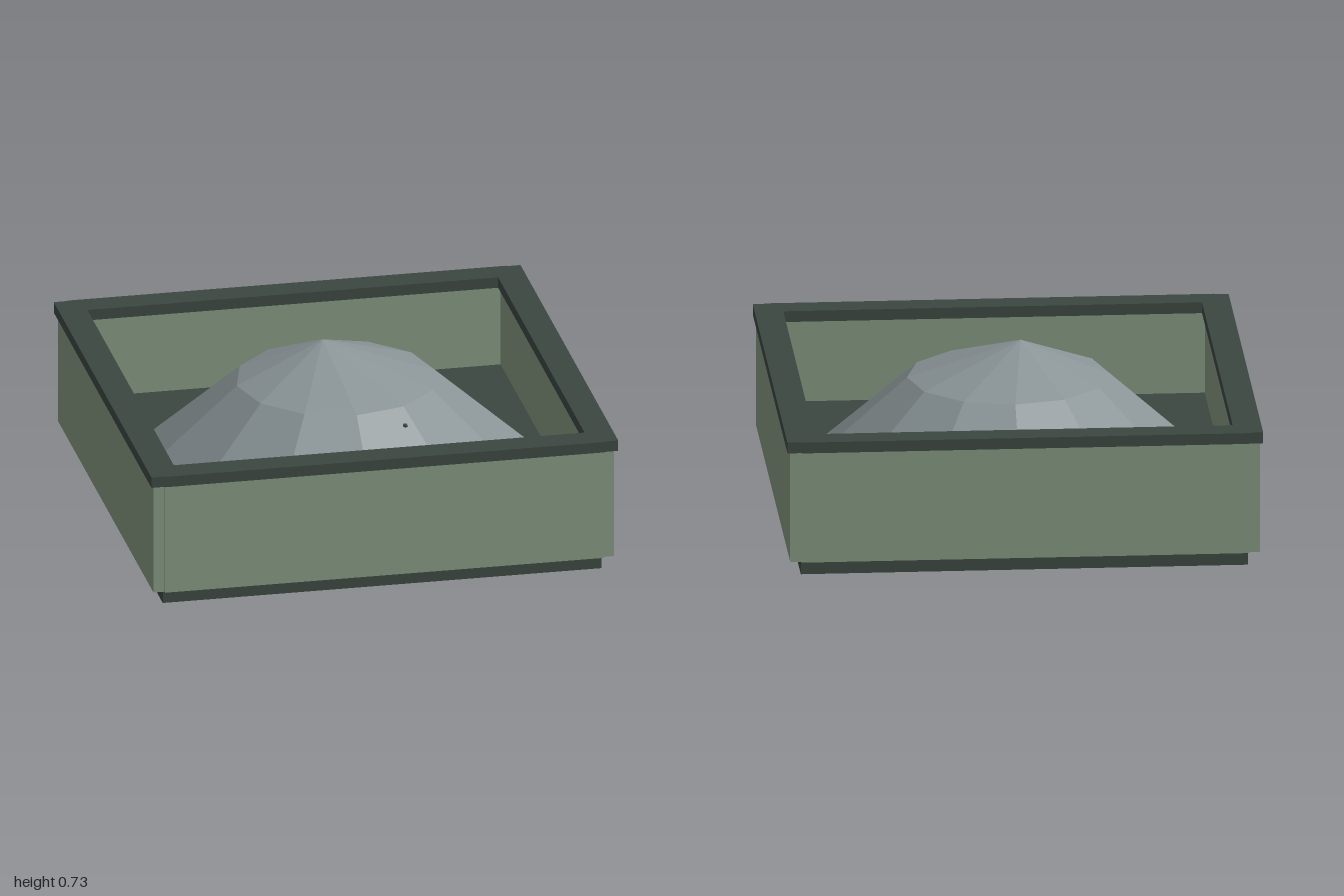
import * as THREE from 'three';

export function createModel() {
  const model = new THREE.Group();
  model.name = 'raisedBed';

  const darkTrim = new THREE.MeshStandardMaterial({ color: 0x3b4741 });
  darkTrim.name = 'darkTrim';
  const sagePanel = new THREE.MeshStandardMaterial({ color: 0x82957f });
  sagePanel.name = 'sagePanel';
  const greyMound = new THREE.MeshStandardMaterial({ color: 0x8a9497 });
  greyMound.name = 'greyMound';

  function box(name, material, w, y0, y1, d, x = 0, z = 0) {
    const mesh = new THREE.Mesh(new THREE.BoxGeometry(w, y1 - y0, d), material);
    mesh.name = name;
    mesh.position.set(x, (y0 + y1) / 2, z);
    model.add(mesh);
  }

  // Plinth whose top is the floor inside the walls
  box('base', darkTrim, 1.88, 0, 0.195, 1.88);

  // Walls and overhanging rim; the side pieces run past the front and back ones
  for (const s of [1, -1]) {
    const end = s > 0 ? 'front' : 'back';
    const side = s > 0 ? 'left' : 'right';
    box(end + 'Wall', sagePanel, 1.88, 0.065, 0.55, 0.094, 0, s * 0.94);
    box(side + 'Wall', sagePanel, 0.094, 0.065, 0.55, 1.95, s * 0.94, 0);
    box(end + 'Rim', darkTrim, 1.88, 0.548, 0.595, 0.12, 0, s * 0.94);
    box(side + 'Rim', darkTrim, 0.12, 0.548, 0.595, 1.99, s * 0.94, 0);
  }

  // Twelve-sided mound: a two-step cone with a raised middle ring and an off-centre tip
  const cone = new THREE.ConeGeometry(0.85, 0.54, 12, 2, true);
  const pos = cone.attributes.position;
  for (let i = 0; i < pos.count; i++) {
    const y = pos.getY(i);
    if (y > 0.2) pos.setXYZ(i, -0.05, 0.73, -0.035);
    else pos.setY(i, y > -0.1 ? 0.565 : 0.19);
  }
  const facets = cone.toNonIndexed();
  facets.computeVertexNormals();
  const mound = new THREE.Mesh(facets, greyMound);
  mound.name = 'mound';
  model.add(mound);

  // Tip of a small stone poking through the mound
  const stone = new THREE.Mesh(new THREE.IcosahedronGeometry(0.012, 0), darkTrim);
  stone.name = 'stoneTip';
  stone.position.set(0.205, 0.505, 0.435);
  model.add(stone);

  return model;
}
